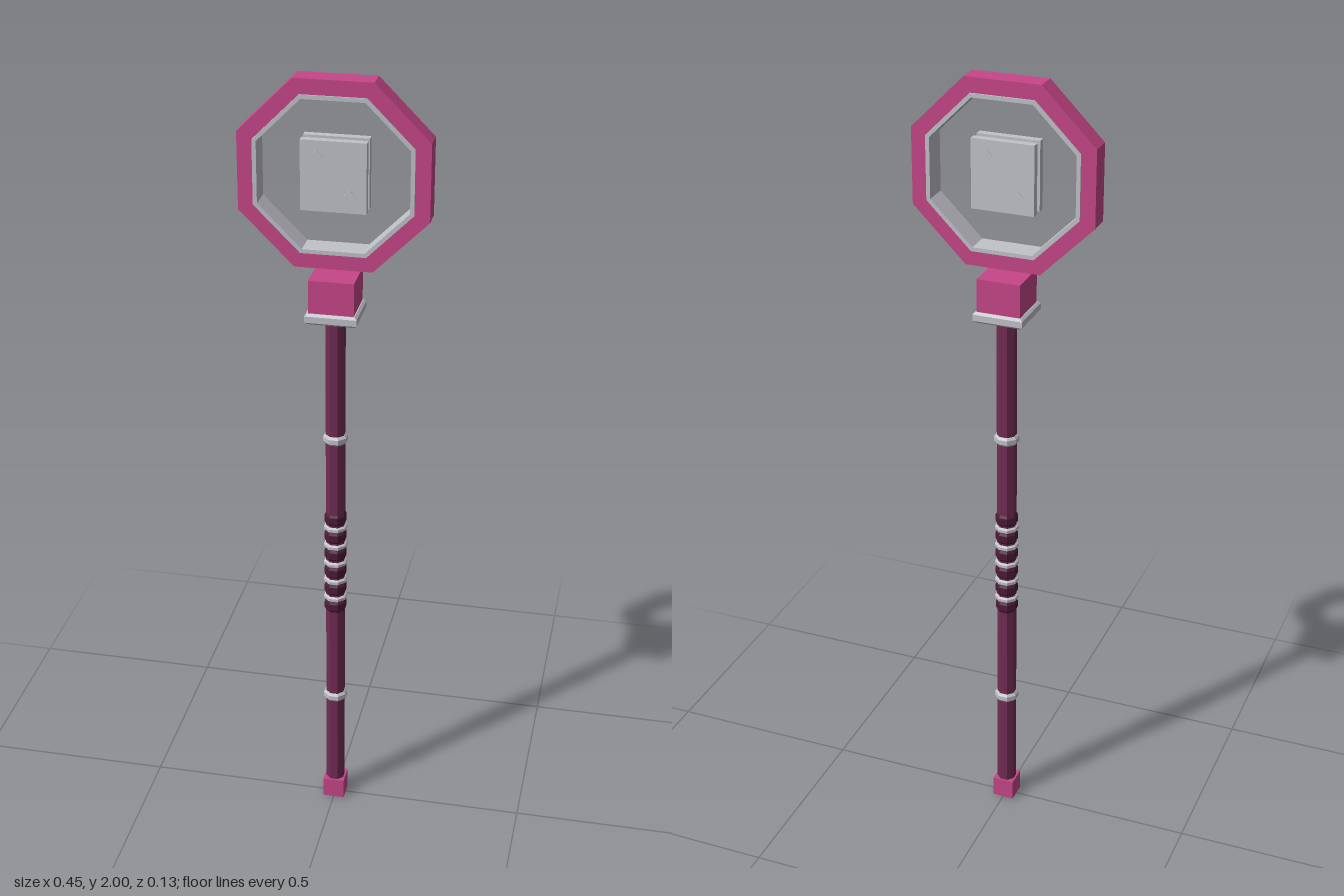
import * as THREE from 'three';

const EIGHTH = Math.PI / 8;
const mat = (name, color) => {
  const m = new THREE.MeshStandardMaterial({ color });
  m.name = name;
  return m;
};

// faceted version of a geometry
function faceted(geo) {
  const g = geo.index ? geo.toNonIndexed() : geo;
  g.computeVertexNormals();
  return g;
}

// eight-sided turned part with flats facing the axes; profile is [apothem, y], bottom to top
function turned(profile) {
  const pts = profile.map(([r, y]) => new THREE.Vector2(r / Math.cos(EIGHTH), y));
  return faceted(new THREE.LatheGeometry(pts, 8, EIGHTH));
}

// octagon outline with a flat top
function octagon(target, apothem) {
  const r = apothem / Math.cos(EIGHTH);
  const pts = [];
  for (let i = 0; i < 8; i++) {
    const a = EIGHTH + i * Math.PI / 4;
    pts.push(new THREE.Vector2(r * Math.cos(a), r * Math.sin(a)));
  }
  return target.setFromPoints(pts);
}

// octagonal ring, centred in depth
function octagonRing(outer, inner, depth) {
  const shape = octagon(new THREE.Shape(), outer);
  shape.holes.push(octagon(new THREE.Path(), inner));
  const g = new THREE.ExtrudeGeometry(shape, { depth, bevelEnabled: false });
  return g.translate(0, 0, -depth / 2);
}

export function createModel() {
  const pink = mat('pink', 0xc64688);
  const plum = mat('plum', 0x702c54);
  const darkPlum = mat('darkPlum', 0x4c1c38);
  const silver = mat('silver', 0xc2c2ca);

  const staff = new THREE.Group();
  staff.name = 'staff';
  const add = (name, geo, material, x = 0, y = 0, z = 0, parent = staff) => {
    const m = new THREE.Mesh(geo, material);
    m.name = name;
    m.position.set(x, y, z);
    parent.add(m);
    return m;
  };
  const box = (w, h, d) => new THREE.BoxGeometry(w, h, d);

  // foot and shaft
  add('foot', box(0.056, 0.055, 0.056), pink, 0, 0.0275);
  add('shaft', turned([[0.023, 0.05], [0.023, 1.42]]), plum);

  // chamfered bands along the shaft
  const band = (h, r) => turned([
    [0.02, -h / 2], [r - 0.005, -h / 2], [r, -h / 4],
    [r, h / 4], [r - 0.005, h / 2], [0.02, h / 2],
  ]);
  for (const y of [0.325, 1.09]) add('shaftBand', band(0.024, 0.029), silver, 0, y);

  // grip: dark wraps separated by thin bands
  for (let i = 0; i < 6; i++) add('gripWrap', band(0.036, 0.0265), darkPlum, 0, 0.607 + i * 0.0515);
  for (let i = 0; i < 5; i++) add('gripBand', band(0.015, 0.028), silver, 0, 0.631 + i * 0.0515);

  // collar plate with softened edges, and the block above it
  const s = 0.063;
  const collar = new THREE.LatheGeometry(
    [[0, -0.0135], [s - 0.006, -0.0135], [s, -0.008], [s, 0.008], [s - 0.006, 0.0135], [0, 0.0135]]
      .map(([r, y]) => new THREE.Vector2(r * Math.SQRT2, y)), 4, Math.PI / 4);
  add('collar', faceted(collar), silver, 0, 1.429);
  add('neckBlock', box(0.11, 0.085, 0.11), pink, 0, 1.483);

  // floating head
  const head = new THREE.Group();
  head.name = 'head';
  head.position.y = 1.7735;
  staff.add(head);
  add('outerRing', octagonRing(0.2265, 0.189, 0.055), pink, 0, 0, 0, head);
  add('innerRing', octagonRing(0.19, 0.18, 0.062), silver, 0, 0, 0, head);

  // central plate pair around a recessed core, repeated by half-turn
  add('panelCore', box(0.134, 0.148, 0.03), silver, 0, 0, 0, head);
  for (const turn of [0, Math.PI]) {
    const side = new THREE.Group();
    side.name = 'panelSide';
    side.rotation.y = turn;
    head.add(side);
    add('panelPlate', box(0.156, 0.17, 0.019), silver, 0, 0, 0.0185, side);
    for (const k of [-1, 1]) {
      const stud = add('panelStud', box(0.024, 0.024, 0.008), silver, 0.039 * k, -0.046 * k, 0.0275, side);
      stud.rotation.z = Math.PI / 4;
    }
  }
  return staff;
}
